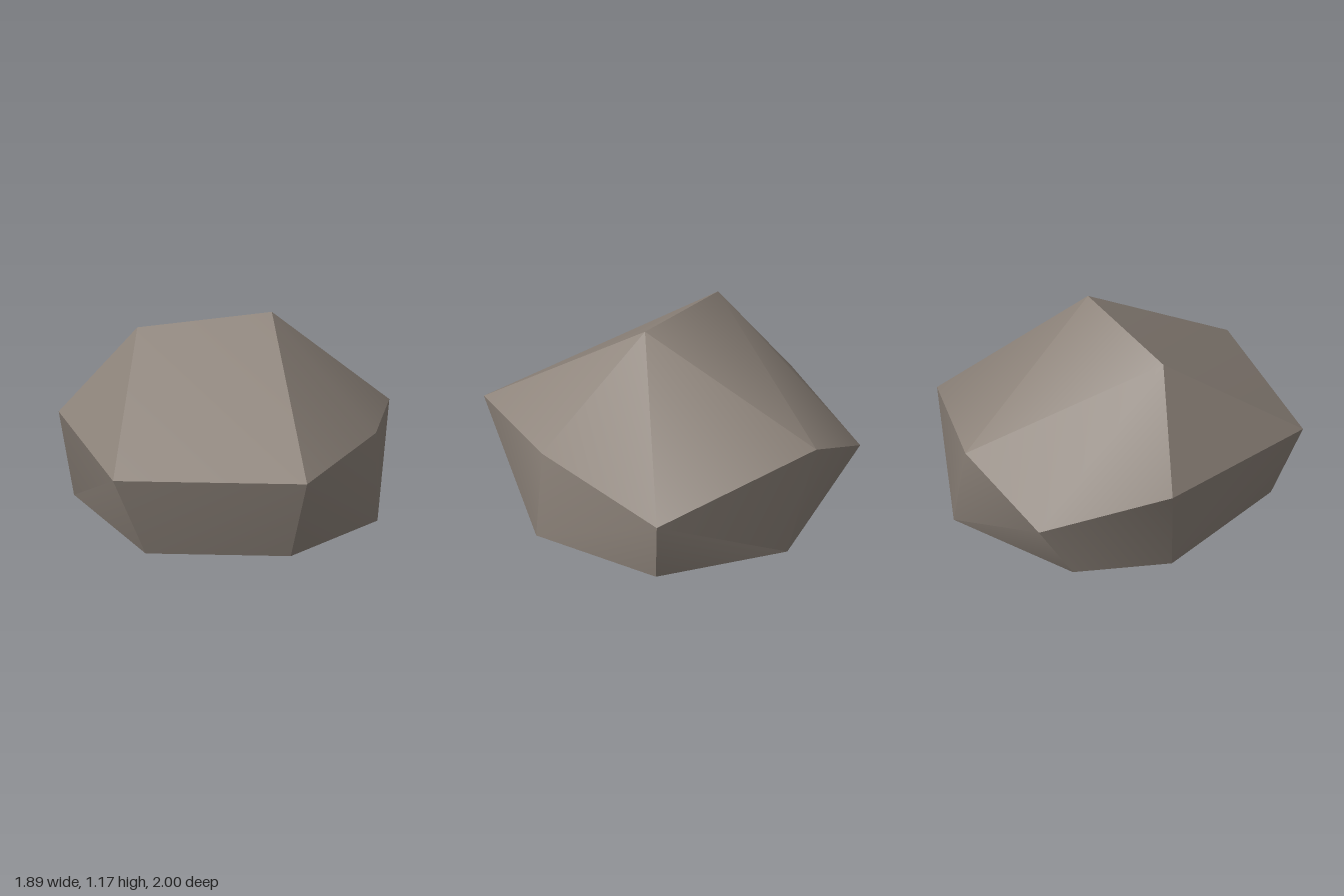
import * as THREE from 'three';
import { ConvexGeometry } from 'three/addons/geometries/ConvexGeometry.js';
import { toCreasedNormals } from 'three/addons/utils/BufferGeometryUtils.js';

export function createModel() {
  const stone = new THREE.MeshStandardMaterial({ color: 0x8d837a });
  stone.name = 'warm grey stone';

  // Two top corners joined by the ridge
  const ridge = [[-0.49, 1.11, 0.08], [0.285, 1.175, -0.02]];

  // Widest ring of corners, going round from the right side
  const girdle = [
    [-0.95, 0.505, -0.09], [-0.605, 0.5, 0.925], [0.52, 0.525, 1.0], [0.895, 0.535, 0.245],
    [0.945, 0.365, -0.665], [-0.09, 0.585, -1.0], [-0.69, 0.33, -0.825],
  ];

  // Flat underside, one corner below each girdle corner
  const base = [
    [-0.86, 0, -0.05], [-0.42, 0, 0.81], [0.42, 0, 0.825], [0.905, 0, 0.28],
    [0.87, 0, -0.595], [0.13, 0, -0.965], [-0.69, 0, -0.605],
  ];

  // Convex boulder: soft bends stay smooth, stronger breaks become sharp edges
  const corners = [...ridge, ...girdle, ...base].map((p) => new THREE.Vector3(...p));
  const geometry = toCreasedNormals(new ConvexGeometry(corners), THREE.MathUtils.degToRad(39));

  const boulder = new THREE.Mesh(geometry, stone);
  boulder.name = 'boulder';

  const group = new THREE.Group();
  group.name = 'rock';
  group.add(boulder);
  return group;
}
